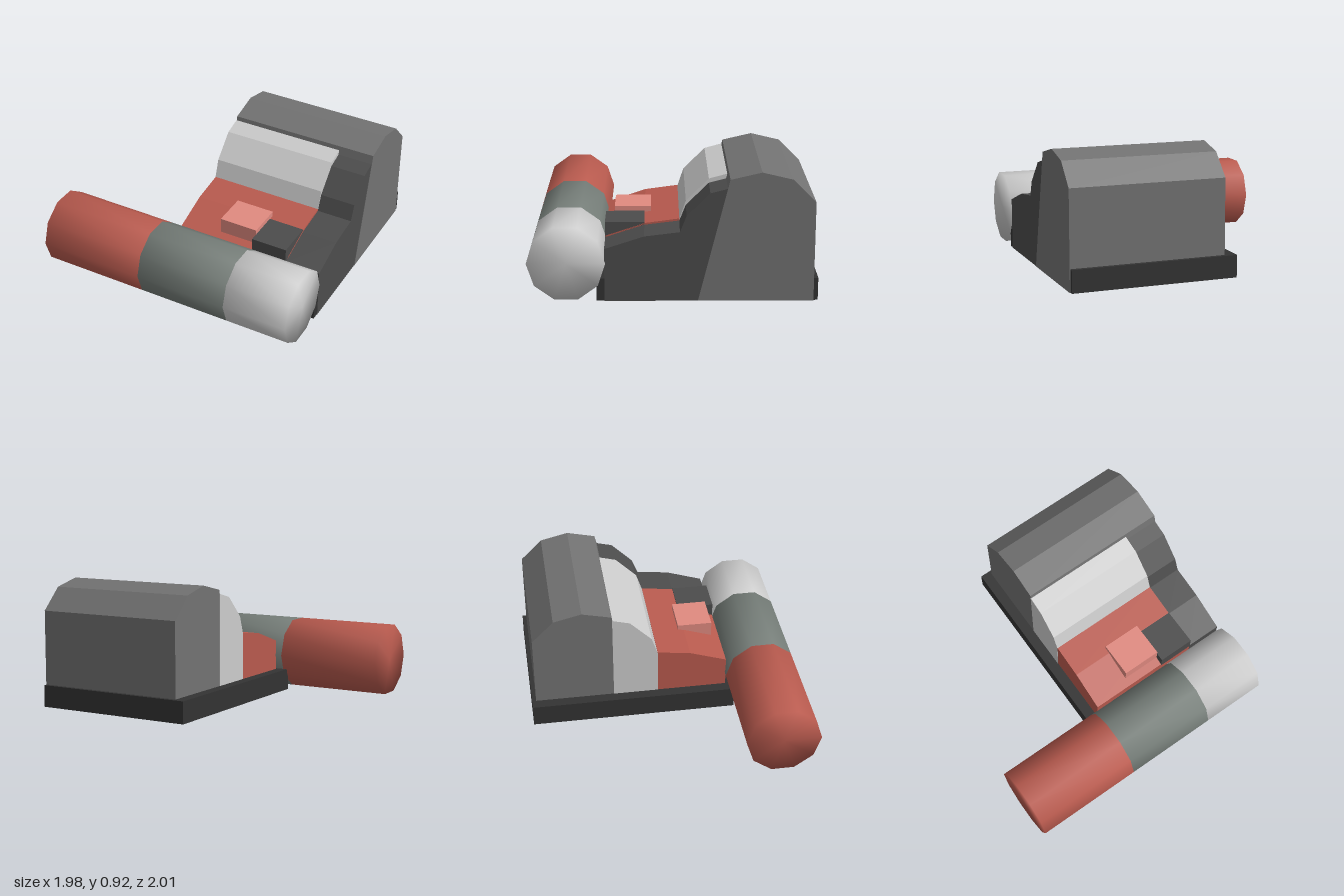
import * as THREE from 'three';
import { mergeVertices } from 'three/addons/utils/BufferGeometryUtils.js';

const COLORS = {
  light: 0xcccccc, mid: 0x727272, dark: 0x4c4c4c, base: 0x333333,
  red: 0xb85a4e, pink: 0xe08a80, green: 0x757d78,
};

export function createModel() {
  const model = new THREE.Group();

  function add(name, geometry, color, flatShading = true) {
    const material = new THREE.MeshStandardMaterial({ color, flatShading });
    const mesh = new THREE.Mesh(geometry, material);
    mesh.name = name;
    model.add(mesh);
    return mesh;
  }

  // Box given by its limits on each axis
  function box(name, [x0, x1], [y0, y1], [z0, z1], color) {
    add(name, new THREE.BoxGeometry(x1 - x0, y1 - y0, z1 - z0), color)
      .position.set((x0 + x1) / 2, (y0 + y1) / 2, (z0 + z1) / 2);
  }

  // Side profile of [z, y] points extruded from x0 to x1
  function slab(name, profile, x0, x1, color) {
    const shape = new THREE.Shape(profile.map(([z, y]) => new THREE.Vector2(-z, y)));
    const geometry = new THREE.ExtrudeGeometry(shape, { depth: x1 - x0, bevelEnabled: false });
    geometry.rotateY(Math.PI / 2).translate(x0, 0, 0);
    add(name, geometry, color);
  }

  // Ten-sided roller section along x, normals smoothed over the end caps
  function roller(name, x0, x1, color) {
    let geometry = new THREE.CylinderGeometry(0.272, 0.272, x1 - x0, 10);
    geometry.deleteAttribute('normal');
    geometry.deleteAttribute('uv');
    geometry = mergeVertices(geometry, 1e-4);
    geometry.rotateZ(Math.PI / 2);
    // Turn one vertex line to the very top
    geometry.computeVertexNormals();
    add(name, geometry, color, false).position.set((x0 + x1) / 2, 0.275, 0.74);
  }

  // Low base tray
  box('base', [-0.22, 0.983], [0.004, 0.165], [-1, 0.53], COLORS.base);

  // Tall rounded rear body
  slab('rearBody', [
    [-0.17, 0.002], [-0.385, 0.87], [-0.6, 0.92], [-0.81, 0.87], [-0.97, 0.71], [-0.97, 0.002],
  ], -0.14, 0.988, COLORS.mid);

  // Stepped side body, flush with the rear body
  slab('sideBody', [
    [0.475, 0.002], [0.475, 0.38], [0.2, 0.47], [-0.045, 0.5], [-0.09, 0.615],
    [-0.25, 0.775], [-0.385, 0.81], [-0.385, 0.002],
  ], 0.72, 0.985, COLORS.dark);

  // Light faceted middle cover
  slab('cover', [
    [-0.045, 0], [-0.045, 0.51], [-0.09, 0.645], [-0.25, 0.805], [-0.38, 0.84], [-0.38, 0],
  ], -0.142, 0.72, COLORS.light);

  // Sloping front deck with two blocks on it
  slab('frontDeck', [
    [0.475, 0], [0.475, 0.39], [0.2, 0.482], [-0.045, 0.515], [-0.045, 0],
  ], -0.14, 0.72, COLORS.red);
  box('deckBlock', [0.16, 0.45], [0.37, 0.525], [0.155, 0.415], COLORS.pink);
  box('cornerBlock', [0.45, 0.72], [0.37, 0.49], [0.2, 0.477], COLORS.dark);

  // Three-part roller across the front
  roller('rollerRight', -0.99, -0.19, COLORS.red);
  roller('rollerMiddle', -0.19, 0.505, COLORS.green);
  roller('rollerLeft', 0.505, 0.988, COLORS.light);

  return model;
}
